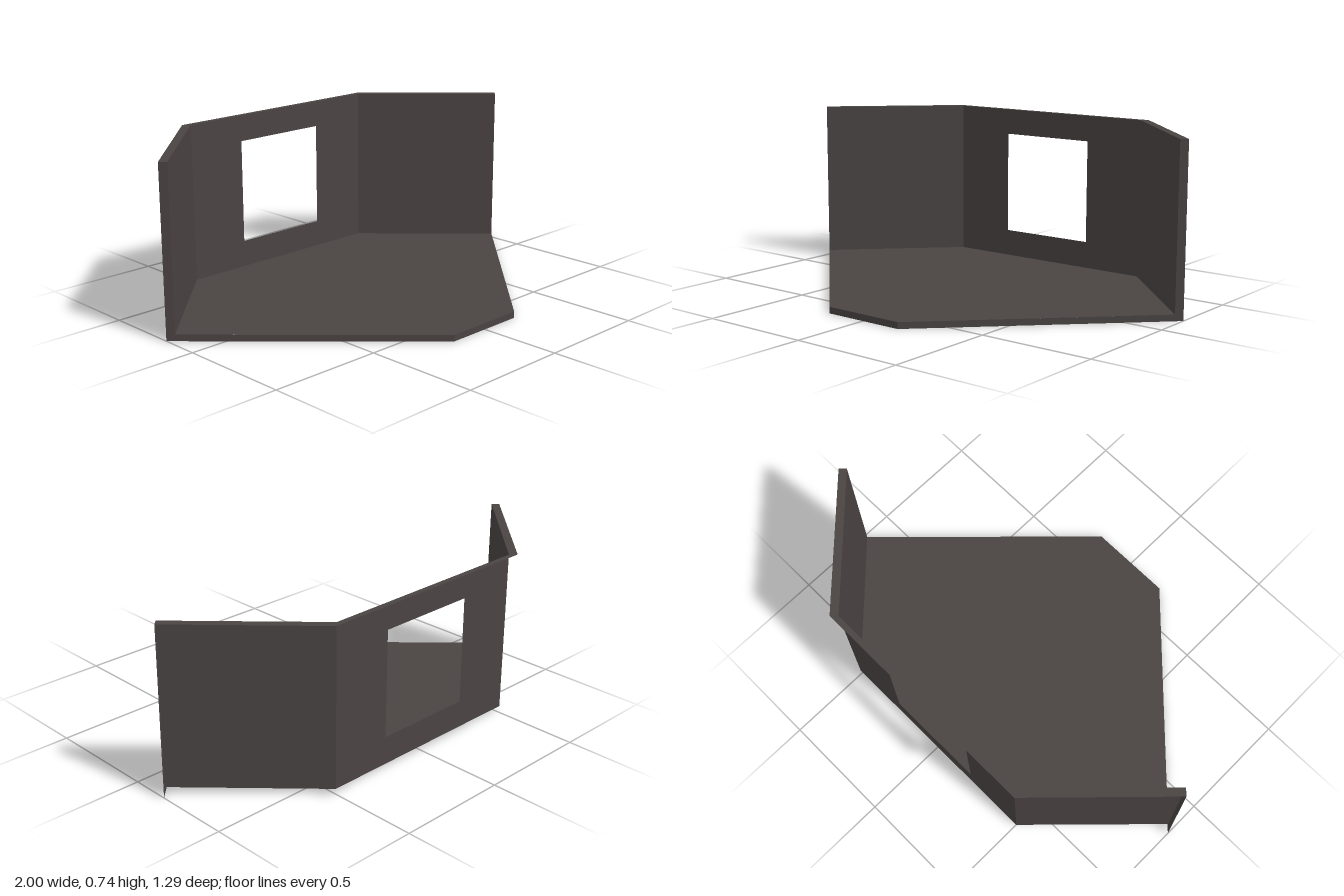
import * as THREE from 'three';

const FLOOR = 0.028, TOP = 0.737;

// Plan corners [x, z] on the +x side
const innerBack = [0.505, -0.618];
const innerEnd = [0.975, -0.145];
const outerEnd = [1, -0.17];
const outerBack = [0.532, -0.643];
const front = [0.188, 0.643];

const mirror = ([x, z]) => [-x, z];

export function createModel() {
  const model = new THREE.Group();
  model.name = 'walledCorner';

  const stone = new THREE.MeshStandardMaterial({ color: 0x4a4443, side: THREE.DoubleSide });
  stone.name = 'darkStone';

  const add = (name, geometry) => {
    const mesh = new THREE.Mesh(geometry, stone);
    mesh.name = name;
    model.add(mesh);
    return mesh;
  };

  // Flat convex face from 3D corners in counter-clockwise order
  const face = (name, corners) => {
    const triangles = [];
    for (let i = 1; i < corners.length - 1; i++) {
      triangles.push(...corners[0], ...corners[i], ...corners[i + 1]);
    }
    const geometry = new THREE.BufferGeometry();
    geometry.setAttribute('position', new THREE.Float32BufferAttribute(triangles, 3));
    geometry.computeVertexNormals();
    add(name, geometry);
  };

  // Horizontal face at height y, and upright face from plan point a to b
  const level = (name, points, y) => face(name, points.map(([x, z]) => [x, y, z]));
  const upright = (name, a, b, y0, y1) => face(name, [
    [a[0], y0, a[1]], [b[0], y0, b[1]], [b[0], y1, b[1]], [a[0], y1, a[1]],
  ]);

  // Floor slab: top and front edge
  level('floor', [mirror(front), front, innerEnd, innerBack, mirror(innerBack), mirror(innerEnd)], FLOOR);
  upright('floorFrontEdge', mirror(front), front, 0, FLOOR);

  // Back wall with a square window opening
  const wall = new THREE.Shape([
    new THREE.Vector2(-innerBack[0], FLOOR), new THREE.Vector2(innerBack[0], FLOOR),
    new THREE.Vector2(innerBack[0], TOP), new THREE.Vector2(-innerBack[0], TOP),
  ]);
  wall.holes.push(new THREE.Path([
    new THREE.Vector2(-0.227, 0.15), new THREE.Vector2(-0.227, 0.62),
    new THREE.Vector2(0.227, 0.62), new THREE.Vector2(0.227, 0.15),
  ]));
  add('backWall', new THREE.ShapeGeometry(wall)).position.z = innerBack[1];
  level('backWallRim', [mirror(innerBack), innerBack, outerBack, mirror(outerBack)], TOP);

  // Angled side walls, their rims and end caps, and the slanted floor edges
  for (const side of ['left', 'right']) {
    const left = side === 'left';
    const pair = (name, a, b, y0, y1) => left
      ? upright(side + name, a, b, y0, y1)
      : upright(side + name, mirror(b), mirror(a), y0, y1);

    pair('Wall', innerBack, innerEnd, FLOOR, TOP);
    pair('WallEnd', innerEnd, outerEnd, FLOOR, TOP);
    pair('FloorEdge', front, outerEnd, 0, FLOOR);

    const rim = [innerBack, innerEnd, outerEnd, outerBack];
    level(side + 'WallRim', left ? rim : rim.map(mirror).reverse(), TOP);
  }

  return model;
}
